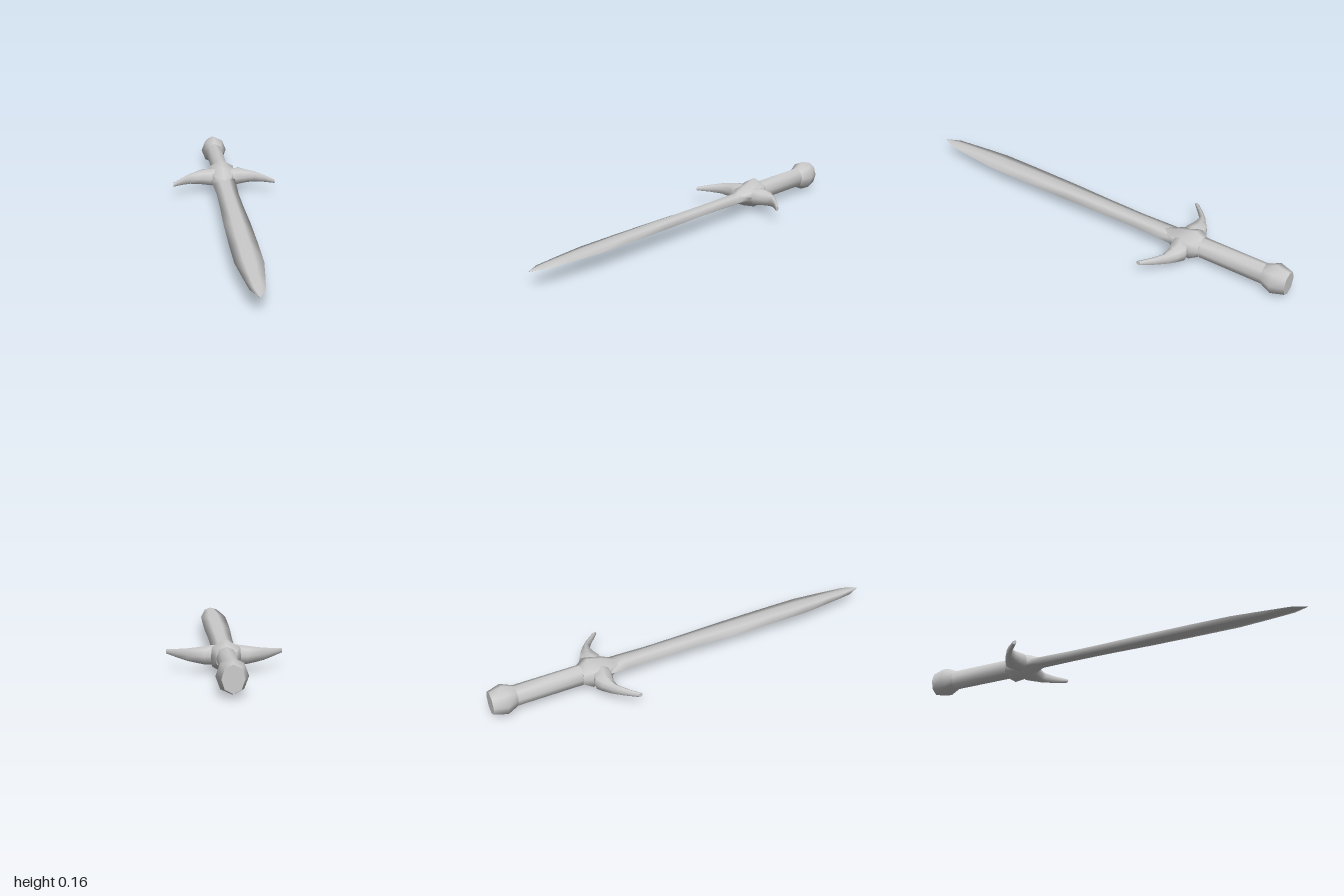
import * as THREE from 'three';

const CY = 0.078; // height of the sword's long axis

// Skin a list of equal-length rings of [x, y, z]; both ends get caps with their own vertices
function loft(name, rings) {
  const n = rings[0].length, last = rings.length - 1;
  const pos = [], idx = [];
  rings.forEach(r => r.forEach(p => pos.push(...p)));
  for (let r = 0; r < last; r++) {
    for (let i = 0; i < n; i++) {
      const a = r * n + i, b = r * n + (i + 1) % n;
      idx.push(a, b, a + n, b, b + n, a + n);
    }
  }
  [[rings[0], true], [rings[last], false]].forEach(([ring, flip]) => {
    const s = pos.length / 3;
    ring.forEach(p => pos.push(...p));
    for (let i = 1; i < n - 1; i++) {
      if (flip) idx.push(s, s + i + 1, s + i);
      else idx.push(s, s + i, s + i + 1);
    }
  });
  const g = new THREE.BufferGeometry();
  g.setAttribute('position', new THREE.Float32BufferAttribute(pos, 3));
  g.setIndex(idx);
  g.computeVertexNormals();
  const mesh = new THREE.Mesh(g, new THREE.MeshStandardMaterial({ color: 0xcccccc }));
  mesh.name = name;
  return mesh;
}

// Unit outline scaled by half width and half height at each station [z, w, h]
const alongZ = (outline, stations) => stations.map(([z, w, h]) =>
  outline.map(([x, y]) => [x * w, CY + y * h, z]));

const octagon = Array.from({ length: 8 }, (_, i) =>
  [Math.cos(i * Math.PI / 4), Math.sin(i * Math.PI / 4)]);
const bladeOutline = [[1, 0], [0.4, 0.95], [0, 1], [-0.4, 0.95],
  [-1, 0], [-0.4, -0.95], [0, -1], [0.4, -0.95]];
const collarOutline = [[1, 0], [0.94, 0.55], [0, 1], [-0.94, 0.55],
  [-1, 0], [-0.94, -0.55], [0, -1], [0.94, -0.55]];

export function createModel() {
  const sword = new THREE.Group();
  sword.name = 'sword';

  // Blade: flattened section, slightly waisted, narrowing to a point
  sword.add(loft('blade', alongZ(bladeOutline, [
    [-0.45, 0.062, 0.021], [-0.34, 0.06, 0.02], [-0.2, 0.055, 0.019], [0, 0.058, 0.018],
    [0.2, 0.064, 0.016], [0.45, 0.066, 0.013], [0.65, 0.065, 0.01], [0.8, 0.049, 0.008],
    [0.93, 0.033, 0.005], [1, 0.001, 0.001],
  ])));

  // Grip and flared pommel
  sword.add(loft('grip', alongZ(octagon, [[-0.9, 0.045, 0.052], [-0.5, 0.045, 0.052]])));
  sword.add(loft('pommel', alongZ(octagon, [
    [-1, 0.048, 0.06], [-0.935, 0.068, 0.076], [-0.88, 0.045, 0.052],
  ])));

  // Guard collar: peaked ridge tapering forward over the blade
  sword.add(loft('guardCollar', alongZ(collarOutline, [
    [-0.56, 0.045, 0.05], [-0.52, 0.066, 0.078], [-0.44, 0.06, 0.053],
    [-0.4, 0.042, 0.036], [-0.355, 0.022, 0.021],
  ])));

  // Guard wings: curved, tapering horns given as [x, back z, front z, half height]
  const wing = [
    [0.03, -0.51, -0.425, 0.044], [0.065, -0.518, -0.425, 0.044],
    [0.095, -0.525, -0.434, 0.041], [0.13, -0.505, -0.441, 0.035],
    [0.17, -0.475, -0.442, 0.028], [0.215, -0.435, -0.407, 0.019],
    [0.262, -0.384, -0.362, 0.01],
  ];
  // Rounded-box section in [y, z]
  const wingOutline = [[1, 0], [0.75, 0.75], [0, 1], [-0.75, 0.75],
    [-1, 0], [-0.75, -0.85], [0, -1], [0.75, -0.85]];
  for (const side of [1, -1]) {
    const rings = wing.map(([x, back, front, h]) => wingOutline.map(([y, z]) =>
      [side * x, CY + y * h, (back + front) / 2 + z * (front - back) / 2]));
    if (side < 0) rings.reverse();
    sword.add(loft(side > 0 ? 'leftGuardWing' : 'rightGuardWing', rings));
  }
  return sword;
}
